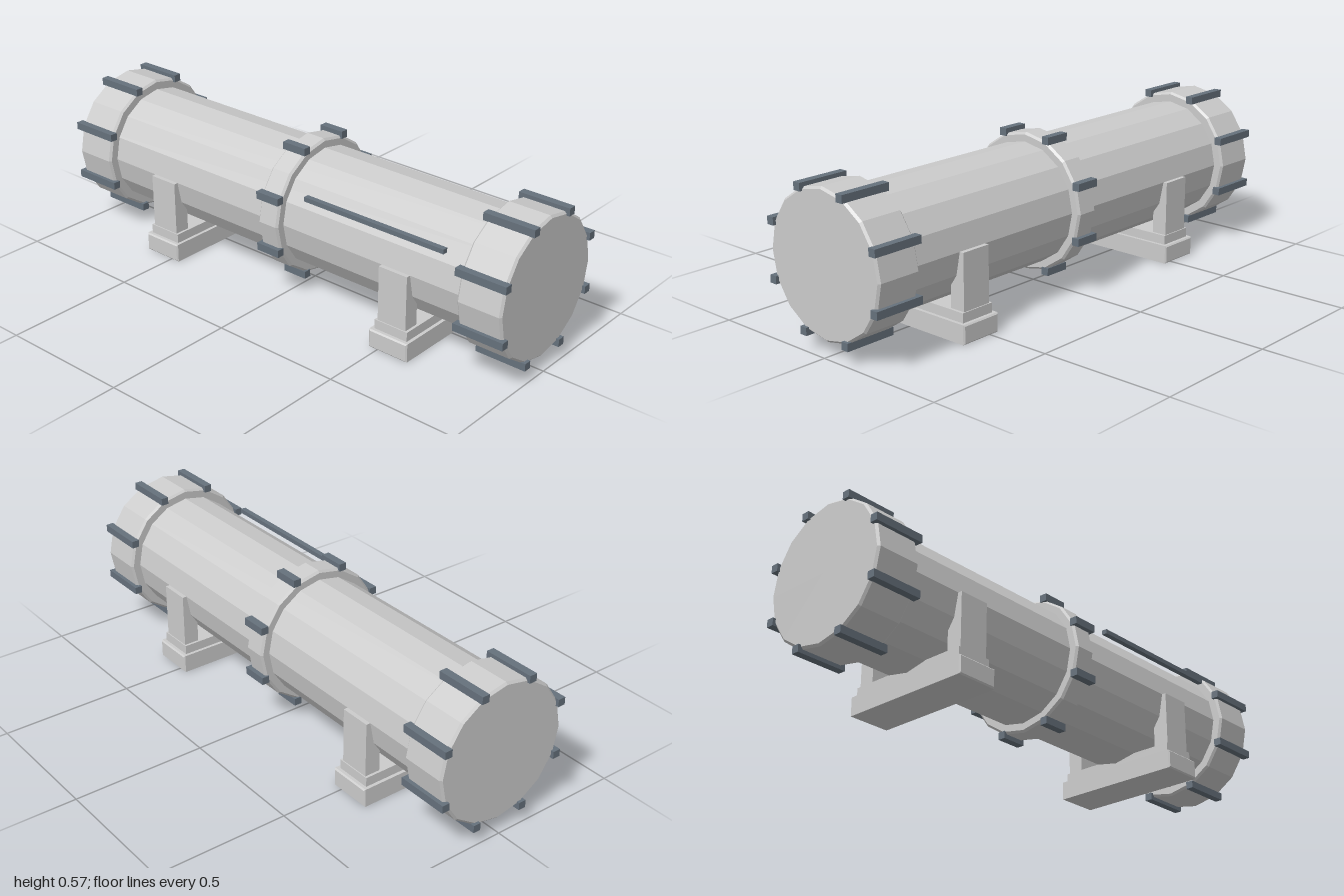
import * as THREE from 'three';

const AXIS_Y = 0.31;
const SIDES = 16;

export function createModel() {
  const model = new THREE.Group();
  const grey = new THREE.MeshStandardMaterial({ color: 0xcccccc, flatShading: true });
  const steel = new THREE.MeshStandardMaterial({ color: 0x66717c, flatShading: true });

  function add(name, geometry, material, x, y, z, parent = model) {
    const mesh = new THREE.Mesh(geometry, material);
    mesh.name = name;
    mesh.position.set(x, y, z);
    parent.add(mesh);
    return mesh;
  }

  // Faceted solid turned around the x axis; profile is [x, radius] pairs
  function turned(profile) {
    const points = profile.map(([x, r]) => new THREE.Vector2(r, x));
    return new THREE.LatheGeometry(points, SIDES).rotateZ(-Math.PI / 2);
  }

  // Band with chamfered rims and closed ends
  function band(half, r, chamfer) {
    return turned([
      [-half, 0], [-half, r - chamfer], [-half + chamfer, r],
      [half - chamfer, r], [half, r - chamfer], [half, 0],
    ]);
  }

  // Box with chamfered edges
  function chamferedBox(w, h, d, c) {
    const x = w / 2 - c, y = h / 2 - c;
    const shape = new THREE.Shape([
      new THREE.Vector2(-x, -y), new THREE.Vector2(x, -y),
      new THREE.Vector2(x, y), new THREE.Vector2(-x, y),
    ]);
    return new THREE.ExtrudeGeometry(shape, {
      depth: d - 2 * c, bevelThickness: c, bevelSize: c, bevelSegments: 1,
    }).translate(0, 0, c - d / 2);
  }

  // Main tube
  add('tube', turned([[-0.97, 0], [-0.97, 0.223], [0.97, 0.223], [0.97, 0]]), grey, 0, AXIS_Y, 0);

  // End collars and middle ring, each with eight clamp bars
  const collars = [
    { name: 'rightEndCollar', x: -0.902, half: 0.086, r: 0.26, bar: 0.195 },
    { name: 'middleRing', x: 0, half: 0.045, r: 0.257, bar: 0.1 },
    { name: 'leftEndCollar', x: 0.902, half: 0.086, r: 0.26, bar: 0.195 },
  ];
  for (const { name, x, half, r, bar } of collars) {
    const group = new THREE.Group();
    group.name = name;
    group.position.set(x, AXIS_Y, 0);
    model.add(group);
    add(name + 'Band', band(half, r, 0.008), grey, 0, 0, 0, group);
    const barGeometry = new THREE.BoxGeometry(bar, 0.028, 0.029);
    for (let i = 0; i < 8; i++) {
      const a = Math.PI / 8 + (i * Math.PI) / 4;
      add('clampBar', barGeometry, steel, 0, 0.263 * Math.cos(a), 0.263 * Math.sin(a), group);
    }
  }

  // Two cradles: base beam, plinth and a pair of posts
  for (const x of [-0.545, 0.545]) {
    const cradle = new THREE.Group();
    cradle.name = 'cradle';
    cradle.position.x = x;
    model.add(cradle);
    add('baseBeam', chamferedBox(0.163, 0.07, 0.52, 0.005), grey, 0, 0.035, 0, cradle);
    add('plinth', new THREE.BoxGeometry(0.138, 0.04, 0.486), grey, 0, 0.085, 0, cradle);
    for (const side of [-1, 1]) {
      add('post', new THREE.BoxGeometry(0.118, 0.21, 0.06), grey, 0, 0.205, side * 0.209, cradle);
    }
  }

  // Thin rail along the front of the tube
  add('sideRail', new THREE.BoxGeometry(0.59, 0.017, 0.02), steel, 0.445, 0.448, 0.222);

  return model;
}
